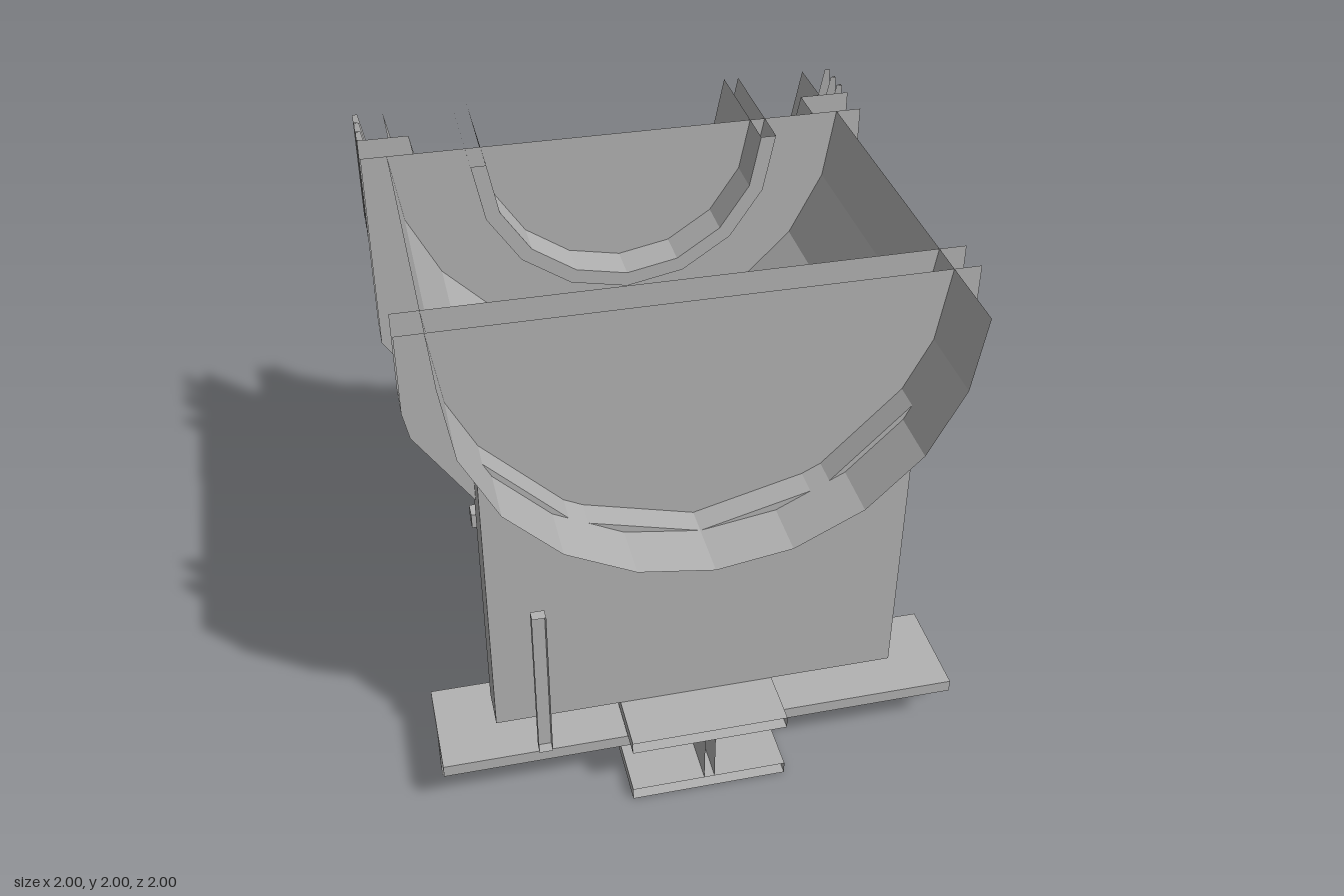
import * as THREE from 'three';

const steel = new THREE.MeshStandardMaterial({ color: 0xb2b2b2, side: THREE.DoubleSide, flatShading: true });
steel.name = 'plain grey';

const AXIS_Y = 2; // height of the drum axis

// The assembly is a section cut to this block; cut ends stay open
const CUTS = [
  ['x', 1, 1], ['x', -1, 1], ['y', 1, 2], ['y', -1, 0], ['z', 1, 1], ['z', -1, 1],
];

// Keeps the part of a convex polygon where sign * p[axis] <= limit
function cutPolygon(poly, [axis, sign, limit]) {
  const out = [];
  poly.forEach((a, i) => {
    const b = poly[(i + 1) % poly.length];
    const da = limit - sign * a[axis], db = limit - sign * b[axis];
    if (da >= -1e-5) out.push(a);
    if ((da > 1e-5 && db < -1e-5) || (da < -1e-5 && db > 1e-5)) {
      out.push(a.clone().lerp(b, da / (da - db)));
    }
  });
  return out;
}

function section(geometry) {
  const g = geometry.index ? geometry.toNonIndexed() : geometry;
  const p = g.attributes.position;
  const kept = [];
  const tri = new THREE.Triangle();
  for (let i = 0; i < p.count; i += 3) {
    let poly = [0, 1, 2].map((k) => new THREE.Vector3().fromBufferAttribute(p, i + k));
    for (const cut of CUTS) poly = cutPolygon(poly, cut);
    for (let k = 1; k + 1 < poly.length; k++) {
      tri.set(poly[0], poly[k], poly[k + 1]);
      if (tri.getArea() > 1e-8) kept.push(poly[0], poly[k], poly[k + 1]);
    }
  }
  const result = new THREE.BufferGeometry().setFromPoints(kept);
  result.computeVertexNormals();
  return result;
}

export function createModel() {
  const model = new THREE.Group();
  model.name = 'drumAssembly';

  const add = (name, geometry) => {
    const mesh = new THREE.Mesh(section(geometry), steel);
    mesh.name = name;
    model.add(mesh);
  };

  // Box given by its lower and upper limits on each axis
  const box = (name, [x0, x1], [y0, y1], [z0, z1]) => {
    const g = new THREE.BoxGeometry(x1 - x0, y1 - y0, z1 - z0);
    add(name, g.translate((x0 + x1) / 2, (y0 + y1) / 2, (z0 + z1) / 2));
  };

  // Profile of [radius, z] turned about the drum axis
  const turned = (name, sides, profile) => {
    const g = new THREE.LatheGeometry(profile.map(([r, z]) => new THREE.Vector2(r, z)), sides);
    add(name, g.rotateX(Math.PI / 2).translate(0, AXIS_Y, 0));
  };
  const ring = (name, sides, inner, outer, z0, z1) =>
    turned(name, sides, [[inner, z0], [outer, z0], [outer, z1], [inner, z1], [inner, z0]]);

  // Main drum with its rear end wall
  turned('drum', 20, [[0, -0.6], [0.9, -0.6], [0.9, 1.5]]);

  // Joint disc around the drum
  turned('jointDisc', 16, [[0, 0.535], [1.06, 0.535], [1.06, 0.675], [0, 0.675]]);

  // Rear flange, inner pipe and bellows
  ring('rearFlange', 16, 0.8, 1.32, -0.76, -0.6);
  ring('innerPipe', 16, 0.54, 0.6, -1.4, -0.44);
  const folds = [[0.88, -1.08], [0.88, -0.76]];
  for (let i = 0; i <= 8; i++) folds.push([i % 2 ? 1.1 : 0.98, -0.76 - i * 0.04]);
  turned('bellows', 16, folds);

  // Flange bolts
  for (const s of [-1, 1]) {
    box('flangeBolt', [s * 0.46 - 0.035, s * 0.46 + 0.035], [0.86, 0.93], [-0.88, -0.76]);
  }

  // Saddle plate cut out to carry the drum
  const saddle = new THREE.Shape();
  saddle.moveTo(-0.78, 0.3);
  saddle.lineTo(0.78, 0.3);
  for (let k = 1; k <= 5; k++) {
    const a = (k * Math.PI) / 6;
    saddle.lineTo(0.9 * Math.cos(a), AXIS_Y - 0.9 * Math.sin(a));
  }
  saddle.closePath();
  add('saddlePlate', new THREE.ExtrudeGeometry(saddle, { depth: 0.155, bevelEnabled: false }).translate(0, 0, 0.625));

  // Hopper box with bolted side cover, and the edge of the next cover
  box('hopperBox', [-0.6, 0.6], [0.3, 1.2], [-0.4, 0.4]);
  box('sideCover', [-0.65, -0.6], [0.34, 1.0], [-0.44, 0.44]);
  box('nextSideCover', [-0.65, -0.6], [0.34, 1.0], [0.96, 1.84]);
  for (const z of [-0.33, 0.33]) {
    for (const y of [0.41, 0.93]) {
      box('coverBolt', [-0.72, -0.65], [y - 0.035, y + 0.035], [z - 0.035, z + 0.035]);
    }
  }

  // Cross beam running side to side
  box('crossBeamFlange', [-1.5, 1.5], [0.19, 0.24], [0.5, 0.9]);
  box('crossBeamWeb', [-1.5, 1.5], [-0.3, 0.19], [0.68, 0.72]);

  // Long beam running out to the front
  box('longBeamTop', [-0.3, 0.3], [0.25, 0.3], [0.2, 1.5]);
  box('longBeamWeb', [-0.02, 0.02], [0.05, 0.25], [0.2, 1.5]);
  box('longBeamBottom', [-0.3, 0.3], [0, 0.05], [0.2, 1.5]);

  return model;
}
